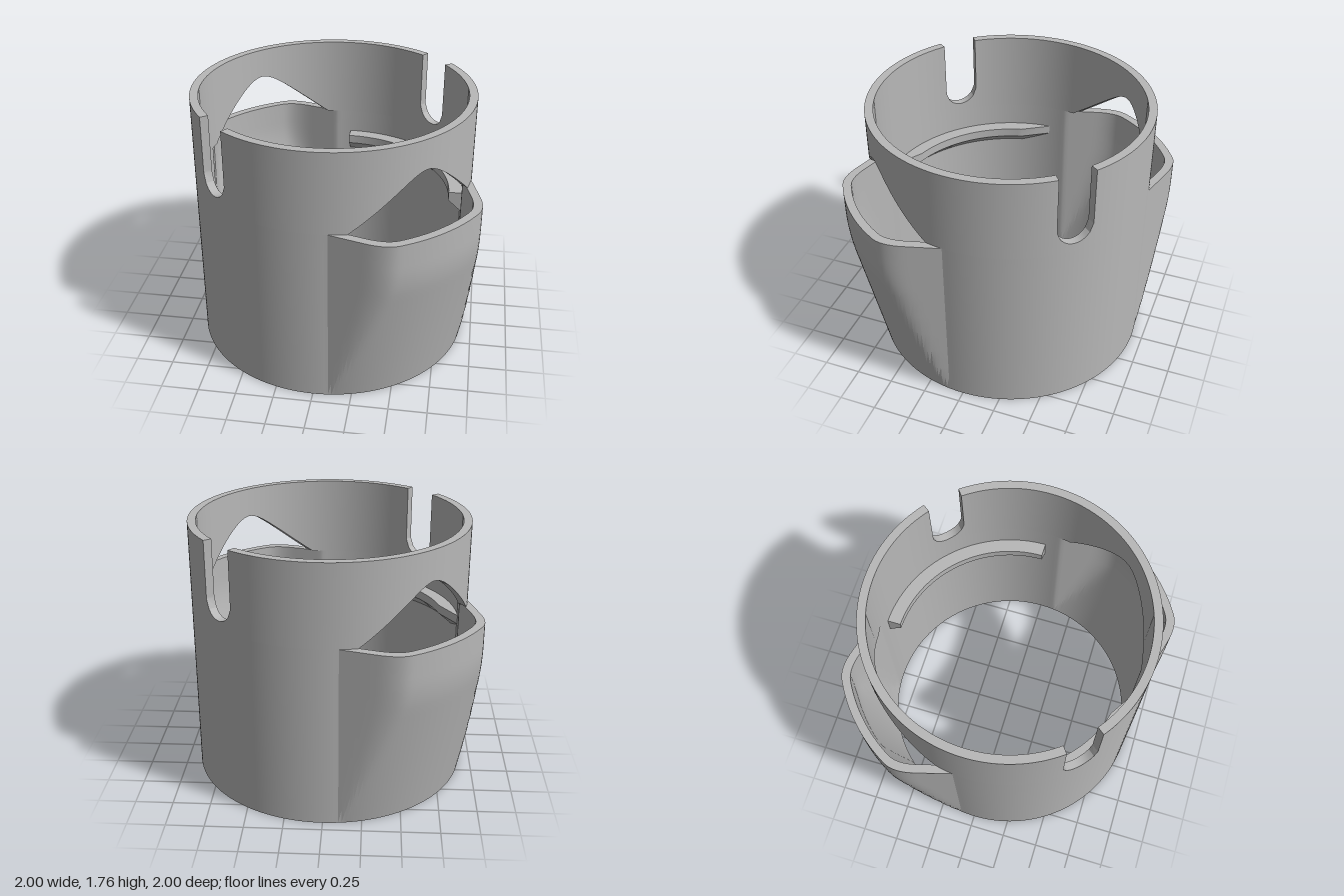
import * as THREE from 'three';
import { toCreasedNormals } from 'three/addons/utils/BufferGeometryUtils.js';

const RO = 0.925, RI = 0.87, WALL = RO - RI;
const HEIGHT = 1.76, SHOULDER = 1.22;
const SLOT_R = 0.122, SLOT_Y = 1.397;
const SLOT_A = Math.asin(SLOT_R / RO);
const rad = THREE.MathUtils.degToRad;

// Signed angle from the nearest of two opposite directions
function offAxis(a, axis) {
  const d = a - axis;
  return d - Math.PI * Math.round(d / Math.PI);
}

function smoothMin(a, b, k) {
  const h = Math.max(k - Math.abs(a - b), 0) / k;
  return Math.min(a, b) - h * h * k / 4;
}

// Radius of the lower body: vertical flanks cut by a widening cone, never inside the tube
function bodyRadius(a, y, inset) {
  const phi = Math.abs(offAxis(a, Math.PI / 4));
  const t = smoothMin(y / 0.95, 1, 0.12);
  const c = Math.cos(rad(60.6) - phi);
  const flank = phi < rad(50) ? (0.859 - inset) / c : 0;
  const cone = RO + 0.19 * t - inset;
  return Math.max(RO - inset, smoothMin(cone, flank, 0.08 * Math.max(t, 0.02)));
}

// Lower edge of the upper tube, arched over each scoop
function windowEdge(a, r) {
  const u = r * Math.sin(offAxis(a, Math.PI / 4));
  return Math.max(SHOULDER, SHOULDER + 0.44 - Math.hypot(0.887 * u, 0.1));
}

// Upper edge of the tube, cut down by the two round-bottomed slots
function topEdge(a) {
  const d = offAxis(a, -Math.PI / 4);
  if (Math.abs(d) > SLOT_A) return HEIGHT;
  return SLOT_Y - Math.sqrt(Math.max(0, SLOT_R ** 2 - (RO * Math.sin(d)) ** 2));
}

// Sweep a profile of [radius, y] points that may change with the angle
function sweep(angles, profile) {
  const pos = [], index = [];
  let n = 0;
  angles.forEach((a, i) => {
    const pts = profile(a, i);
    n = pts.length;
    for (const [r, y] of pts) pos.push(r * Math.cos(a), y, r * Math.sin(a));
    if (i === 0) return;
    for (let j = 0; j < n - 1; j++) {
      const p = (i - 1) * n + j, q = i * n + j;
      index.push(p, p + 1, q, p + 1, q + 1, q);
    }
  });
  const g = new THREE.BufferGeometry();
  g.setAttribute('position', new THREE.Float32BufferAttribute(pos, 3));
  g.setIndex(index);
  return toCreasedNormals(g, 0.3);
}

function angleRange(from, to, step) {
  const n = Math.round((to - from) / step);
  return Array.from({ length: n + 1 }, (_, i) => rad(from + (to - from) * i / n));
}

export function createModel() {
  const model = new THREE.Group();
  const grey = new THREE.MeshStandardMaterial({ color: 0xb8b8b8 });
  grey.name = 'grey';
  const add = (name, geometry) => {
    const mesh = new THREE.Mesh(geometry, grey);
    mesh.name = name;
    model.add(mesh);
  };

  // Columns all round, with extra ones at slot sides, window corners and flank feet
  const angles = angleRange(-180, 180, 1.5);
  for (const turn of [0, Math.PI]) {
    for (const s of [-1, 1]) {
      for (const e of [-1e-4, 1e-4]) angles.push(turn - Math.PI / 4 + s * (SLOT_A + e));
      for (const d of [31.5, 33.7, 38.8]) angles.push(turn - Math.PI * 0.75 + s * rad(d));
    }
  }
  angles.sort((a, b) => a - b);

  // Lower body with two hollow scoops
  const levels = [0, 0.1, 0.2, 0.35, 0.5, 0.65, 0.8, 0.86, 0.9, 0.94, 0.98, 1.02, 1.07, SHOULDER];
  add('scoopedBody', sweep(angles, (a) => [
    ...levels.map((y) => [bodyRadius(a, y, 0), y]),
    ...[...levels].reverse().map((y) => [bodyRadius(a, y, WALL), y]),
    [RO, 0],
  ]));

  // Upper tube with arched windows and open slots
  add('upperTube', sweep(angles, (a) => {
    const top = topEdge(a), outer = windowEdge(a, RO), inner = windowEdge(a, RI);
    return [[RO, outer], [RO, top], [RI, top], [RI, inner], [RO, outer]];
  }));

  // Inner ledges; ramp is the angle over which each end rises from the wall
  const ledge = (name, from, to, ramp) => {
    const cols = [rad(from), ...angleRange(from + ramp, to - ramp, 2), rad(to)];
    add(name, sweep(cols, (a, i) => {
      const end = i === 0 || i === cols.length - 1;
      const r = end ? RI + 0.01 : 0.78;
      return [[RI + 0.01, 1.06], [r, 1.06], [r, 1.0], [RI + 0.01, 0.91]];
    }));
  };
  ledge('squareLedge', -90, 0, 0.01);
  ledge('rampedLedge', 90, 180, 14.7);

  return model;
}
